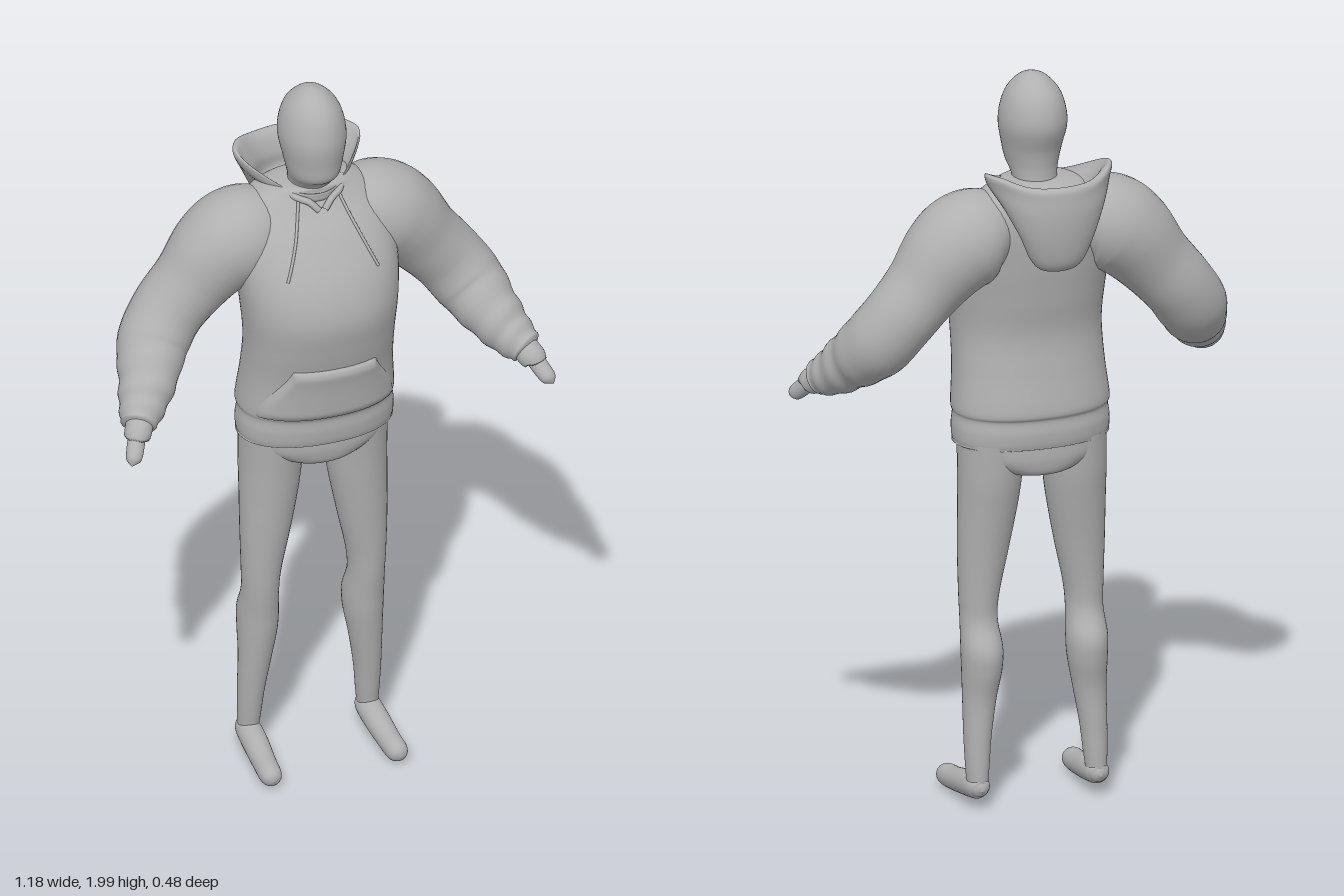
import * as THREE from 'three';

const lerpRow = (a, b, c, d, t) => b.map((_, k) => {
  const v0 = (c[k] - a[k]) / 2, v1 = (d[k] - b[k]) / 2, t2 = t * t, t3 = t2 * t;
  return (2 * t3 - 3 * t2 + 1) * b[k] + (t3 - 2 * t2 + t) * v0 + (3 * t2 - 2 * t3) * c[k] + (t3 - t2) * v1;
});

// Smooth value of a list of rows at u in 0..1
function sample(rows, u) {
  const last = rows.length - 1, f = Math.min(Math.max(u, 0), 1) * last;
  const i = Math.min(Math.floor(f), last - 1), at = (k) => rows[Math.min(Math.max(k, 0), last)];
  return lerpRow(at(i - 1), at(i), at(i + 1), at(i + 2), f - i);
}

// Grid of points; wrap joins the last column to the first
function surface(rowCount, colCount, point, wrap) {
  const pos = [], index = [], cols = wrap ? colCount : colCount + 1;
  for (let i = 0; i <= rowCount; i++)
    for (let j = 0; j < cols; j++) pos.push(...point(i / rowCount, j / colCount));
  for (let i = 0; i < rowCount; i++)
    for (let j = 0; j < colCount; j++) {
      const a = i * cols + j, b = i * cols + (j + 1) % cols;
      index.push(a, b, a + cols, b, b + cols, a + cols);
    }
  const g = new THREE.BufferGeometry();
  g.setAttribute('position', new THREE.Float32BufferAttribute(pos, 3));
  g.setIndex(index);
  g.computeVertexNormals();
  return g;
}

const spow = (v, p) => Math.sign(v) * Math.abs(v) ** p;

// Stack of rings, each [y, centreX, halfWidth, frontZ, backZ]
function loft(rows, { power = 2, steps = 6, seg = 48, shape } = {}) {
  return surface((rows.length - 1) * steps, seg, (u, v) => {
    const [y, cx, hx, zf, zb] = sample(rows, u), a = v * Math.PI * 2;
    const s = spow(Math.sin(a), 2 / power), c = spow(Math.cos(a), 2 / power);
    const p = [cx + Math.max(hx, 0) * s, y, (zf + zb) / 2 + (zf - zb) / 2 * c];
    return shape ? shape(p, u, c) : p;
  }, true);
}

// Round limb through stations [x, y, z, radius]
function limb(stations, ref, { steps = 8, seg = 32, fold = () => 0 } = {}) {
  const n = (stations.length - 1) * steps;
  return surface(n, seg, (u, v) => {
    const p = sample(stations, u), r = Math.max(p[3], 0) * (1 + fold(u, v * Math.PI * 2));
    const p0 = sample(stations, u - 0.01), p1 = sample(stations, u + 0.01);
    const t = new THREE.Vector3(p1[0] - p0[0], p1[1] - p0[1], p1[2] - p0[2]).normalize();
    const side = ref.clone().cross(t).normalize(), up = t.clone().cross(side);
    const a = v * Math.PI * 2;
    return new THREE.Vector3(p[0], p[1], p[2])
      .addScaledVector(side, r * Math.cos(a)).addScaledVector(up, r * Math.sin(a)).toArray();
  }, true);
}

const TORSO = [
  [1.0, 0, 0, 0.02, 0.02], [1.0, 0, 0.19, 0.135, -0.1], [1.003, 0, 0.208, 0.15, -0.115],
  [1.04, 0, 0.211, 0.157, -0.12], [1.075, 0, 0.207, 0.158, -0.117], [1.1, 0, 0.211, 0.166, -0.126],
  [1.2, 0, 0.202, 0.18, -0.11], [1.3, 0, 0.2, 0.205, -0.1], [1.4, 0, 0.208, 0.22, -0.115],
  [1.5, 0, 0.216, 0.192, -0.13], [1.6, 0, 0.212, 0.13, -0.14], [1.66, 0, 0.185, 0.08, -0.135],
  [1.7, 0, 0.14, 0.052, -0.115], [1.72, 0, 0.08, 0.045, -0.08], [1.72, 0, 0, -0.01, -0.01],
];
const TORSO_POWER = 2.2;

// Depth of the chest surface at x, y
function chestZ(x, y) {
  let lo = 0.15, hi = 0.97;
  for (let i = 0; i < 30; i++) {
    const mid = (lo + hi) / 2;
    if (sample(TORSO, mid)[0] < y) lo = mid; else hi = mid;
  }
  const [, , hx, zf, zb] = sample(TORSO, lo);
  const k = Math.min(Math.abs(x) / hx, 1);
  return (zf + zb) / 2 + (zf - zb) / 2 * (1 - k ** TORSO_POWER) ** (1 / TORSO_POWER);
}

export function createModel() {
  const model = new THREE.Group();
  model.name = 'hoodedFigure';
  const grey = new THREE.MeshStandardMaterial({ color: 0xb0b0b0, side: THREE.DoubleSide });
  grey.name = 'plain grey';
  const add = (name, geometry) => {
    const mesh = new THREE.Mesh(geometry, grey);
    mesh.name = name;
    model.add(mesh);
  };

  // Head and neck
  add('head', loft([
    [1.64, 0, 0.06, 0.04, -0.075], [1.71, 0, 0.058, 0.047, -0.075], [1.735, 0, 0.061, 0.065, -0.074],
    [1.76, 0, 0.068, 0.093, -0.075], [1.8, 0, 0.077, 0.1, -0.082], [1.87, 0, 0.088, 0.106, -0.105],
    [1.94, 0, 0.073, 0.087, -0.09], [1.985, 0, 0.037, 0.045, -0.045], [2.0, 0, 0, 0, 0],
  ]));

  // Sweater body and hips
  add('sweaterBody', loft(TORSO, { power: TORSO_POWER, seg: 64 }));
  add('hips', loft([
    [0.915, 0, 0, 0.01, 0.01], [0.918, 0, 0.06, 0.085, -0.07], [0.925, 0, 0.11, 0.118, -0.1],
    [0.96, 0, 0.18, 0.13, -0.11], [1.0, 0, 0.2, 0.132, -0.11], [1.03, 0, 0.2, 0.132, -0.11],
  ], { power: 2.3 }));

  // Hood hanging behind the neck: outside up to the rim, then down inside
  add('hood', loft([
    [1.515, 0, 0, -0.185, -0.185], [1.52, 0, 0.045, -0.16, -0.21], [1.55, 0, 0.075, -0.135, -0.23],
    [1.62, 0, 0.105, -0.12, -0.243], [1.69, 0, 0.14, -0.05, -0.246], [1.74, 0, 0.168, 0.05, -0.243],
    [1.768, 0, 0.178, 0.065, -0.238], [1.775, 0, 0.17, 0.062, -0.222], [1.755, 0, 0.155, 0.055, -0.202],
    [1.71, 0, 0.12, 0.02, -0.19], [1.65, 0, 0.085, -0.06, -0.185], [1.62, 0, 0, -0.12, -0.12],
  ], {
    seg: 64,
    shape: ([x, y, z], u, c) => {
      const front = THREE.MathUtils.smoothstep(c, -0.3, 0.9);
      const back = THREE.MathUtils.smoothstep(-c, 0.5, 1);
      const high = THREE.MathUtils.smoothstep(y, 1.62, 1.75);
      return [x * (1 - 0.42 * front * high), y - high * (0.065 * front + 0.022 * back), z];
    },
  }));

  // Front pocket, pillowed over the belly with curved hand openings
  add('pocket', surface(24, 40, (v, u) => {
    const y = 1.085 + 0.168 * v, half = 0.192 - 0.077 * THREE.MathUtils.smoothstep(v, 0.05, 1.1) * 1.02;
    const k = u * 2 - 1, x = k * half;
    const edge = Math.min(1, (1 - Math.abs(k)) * 9, v * 7, (1 - v) * 7);
    return [x, y, chestZ(x, y) - 0.004 + 0.02 * Math.sqrt(Math.max(edge, 0))];
  }, false));

  for (const s of [-1, 1]) {
    const side = s > 0 ? 'left' : 'right';
    const flip = (pts) => pts.map(([x, ...rest]) => [s * x, ...rest]);
    const ahead = new THREE.Vector3(0, 0, 1);

    // Sleeve with gathered folds on the forearm
    add(side + 'Sleeve', limb(flip([
      [0.08, 1.58, -0.03, 0.07], [0.14, 1.585, -0.03, 0.115], [0.2, 1.57, -0.032, 0.128],
      [0.255, 1.53, -0.036, 0.121], [0.32, 1.455, -0.038, 0.102], [0.385, 1.38, -0.036, 0.096],
      [0.435, 1.31, -0.008, 0.094], [0.472, 1.25, 0.055, 0.079], [0.505, 1.205, 0.105, 0.064],
      [0.53, 1.18, 0.143, 0.05], [0.538, 1.172, 0.155, 0.038], [0.54, 1.17, 0.158, 0],
    ]), ahead, {
      fold: (u, a) => 0.035 * THREE.MathUtils.smoothstep(u, 0.5, 0.68) * Math.sin(u * 75 + Math.sin(a + 1) * 1.2),
    }));
    add(side + 'Cuff', limb(flip([
      [0.525, 1.19, 0.135, 0.034], [0.535, 1.172, 0.158, 0.036], [0.548, 1.155, 0.178, 0.034],
      [0.55, 1.152, 0.181, 0.026], [0.55, 1.152, 0.181, 0],
    ]), ahead));
    add(side + 'Hand', limb(flip([
      [0.535, 1.175, 0.155, 0.022], [0.553, 1.147, 0.186, 0.023], [0.568, 1.122, 0.212, 0.022],
      [0.576, 1.112, 0.223, 0.017], [0.582, 1.102, 0.232, 0],
    ]), ahead));

    // Leg with knee and calf
    add(side + 'Leg', loft([
      [0.06, 0.165, 0.026, 0.0, -0.062], [0.12, 0.163, 0.031, 0.01, -0.062], [0.2, 0.16, 0.036, 0.022, -0.06],
      [0.3, 0.152, 0.044, 0.037, -0.06], [0.38, 0.146, 0.052, 0.049, -0.075], [0.44, 0.145, 0.054, 0.055, -0.076],
      [0.51, 0.146, 0.049, 0.064, -0.045], [0.58, 0.144, 0.053, 0.07, -0.043], [0.7, 0.133, 0.067, 0.08, -0.054],
      [0.82, 0.122, 0.078, 0.09, -0.072], [0.9, 0.117, 0.083, 0.097, -0.085], [1.01, 0.112, 0.088, 0.11, -0.095],
    ].map(([y, cx, ...r]) => [y, s * cx, ...r]), { seg: 36 }));

    // Foot
    add(side + 'Foot', limb(flip([
      [0.164, 0.06, -0.067, 0], [0.164, 0.062, -0.058, 0.02], [0.165, 0.065, -0.035, 0.032],
      [0.167, 0.055, 0.03, 0.034], [0.171, 0.04, 0.11, 0.031], [0.174, 0.034, 0.165, 0.029],
      [0.175, 0.031, 0.186, 0.018], [0.175, 0.03, 0.193, 0],
    ]), new THREE.Vector3(1, 0, 0)));

    // Drawstring lying on the chest
    const string = [];
    for (let i = 0; i <= 8; i++) {
      const f = i / 8, x = 0.055 + 0.07 * f ** 1.15, y = 1.7 - 0.18 * f;
      string.push(new THREE.Vector3(s * x, y, chestZ(x, y) + 0.002));
    }
    add(side + 'Drawstring', new THREE.TubeGeometry(new THREE.CatmullRomCurve3(string), 32, 0.004, 8));

    // Collar lip meeting in a small notch
    const lip = [[0.085, 1.712, 0.0], [0.06, 1.7, 0.045], [0.03, 1.69, 0.066], [0.008, 1.668, 0.078]];
    add(side + 'CollarLip', new THREE.TubeGeometry(
      new THREE.CatmullRomCurve3(lip.map(([x, y, z]) => new THREE.Vector3(s * x, y, z))), 20, 0.009, 10));
  }
  return model;
}
